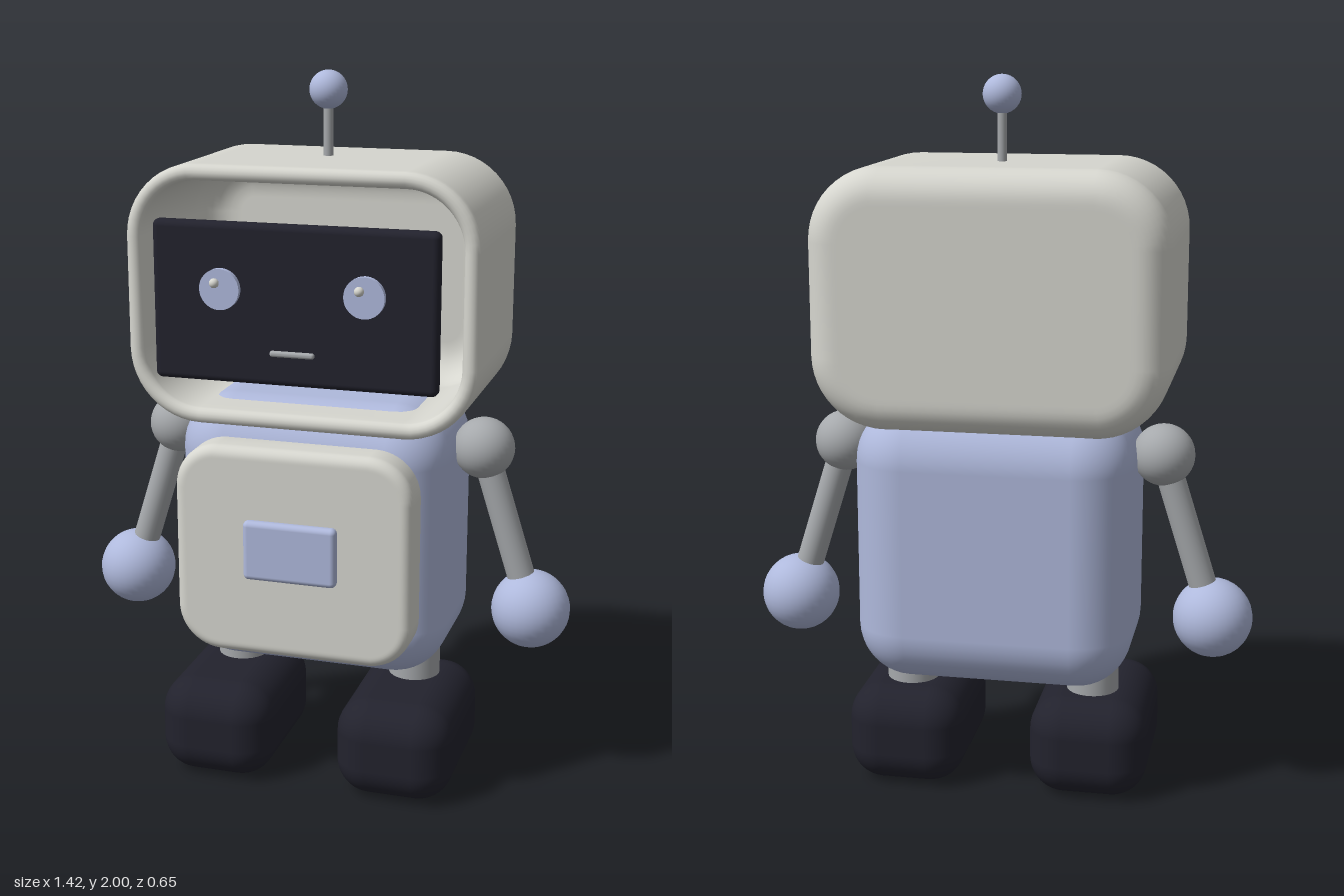
import * as THREE from 'three';
import { RoundedBoxGeometry } from 'three/addons/geometries/RoundedBoxGeometry.js';

const material = (name, color) => new THREE.MeshStandardMaterial({ name, color });

// Rounded-rectangle rings swept along z; profile entries are [inset, z], capped at both ends
function loft(halfW, halfH, radius, profile) {
  const pos = [], index = [], steps = 12, n = 4 * (steps + 1);
  for (const [inset, z] of profile) {
    const r = Math.max(radius - inset, 0.002);
    for (let c = 0; c < 4; c++) {
      const sx = c === 0 || c === 3 ? 1 : -1, sy = c < 2 ? 1 : -1;
      for (let k = 0; k <= steps; k++) {
        const a = (c + k / steps) * Math.PI / 2;
        pos.push(sx * (halfW - inset - r) + r * Math.cos(a), sy * (halfH - inset - r) + r * Math.sin(a), z);
      }
    }
  }
  const last = profile.length - 1;
  pos.push(0, 0, profile[0][1], 0, 0, profile[last][1]);
  const startCentre = n * profile.length, endCentre = startCentre + 1;
  for (let j = 0; j < n; j++) {
    const k = (j + 1) % n;
    for (let i = 0; i < last; i++) {
      const a = i * n + j, b = i * n + k;
      index.push(a, b, b + n, a, b + n, a + n);
    }
    index.push(startCentre, k, j, endCentre, last * n + j, last * n + k);
  }
  const g = new THREE.BufferGeometry();
  g.setAttribute('position', new THREE.Float32BufferAttribute(pos, 3));
  g.setIndex(index);
  g.computeVertexNormals();
  return g;
}

// Points of an arc in (inset, z) space
function arc(cx, cz, r, from, to, steps = 8) {
  return Array.from({ length: steps + 1 }, (_, i) => {
    const a = from + (to - from) * i / steps;
    return [cx + r * Math.cos(a), cz + r * Math.sin(a)];
  });
}

export function createModel() {
  const shell = material('shell', 0xd6d6cf);
  const blue = material('blue', 0xafb9dc);
  const grey = material('grey', 0xa6a9ac);
  const dark = material('dark', 0x22222d);
  const model = new THREE.Group();
  model.name = 'robot';
  const PI = Math.PI, midZ = -0.05;

  const add = (name, geometry, mat, x, y, z, parent = model) => {
    const mesh = new THREE.Mesh(geometry, mat);
    mesh.name = name;
    mesh.position.set(x, y, z);
    parent.add(mesh);
    return mesh;
  };
  const ball = (r) => new THREE.SphereGeometry(r, 32, 20);
  const box = (w, h, d, r) => new RoundedBoxGeometry(w, h, d, 6, r);

  // Hollow head: rounded back, soft front rim, bowl-like interior
  const head = new THREE.Group();
  head.name = 'head';
  model.add(head);
  add('headShell', loft(0.485, 0.353, 0.2, [
    [0.1, -0.325],
    ...arc(0.085, -0.24, 0.085, -PI / 2, -PI),
    [0, 0.2],
    ...arc(0.022, 0.213, 0.022, PI, 0),
    [0.044, 0.18],
    ...arc(0.144, -0.17, 0.1, PI, PI * 1.5),
    [0.155, -0.27],
  ]), shell, 0, 1.418, 0, head);

  // Face screen with eyes and mouth
  add('screen', box(0.78, 0.43, 0.044, 0.018), dark, 0, 1.415, 0.257, head);
  for (const side of [-1, 1]) {
    const eye = add('eye', new THREE.CylinderGeometry(0.055, 0.055, 0.02, 32), blue, side * 0.197, 1.455, 0.285, head);
    eye.rotation.x = PI / 2;
    add('eyeGlint', ball(0.013), shell, side * 0.197 - 0.012, 1.472, 0.298, head);
  }
  add('mouth', box(0.122, 0.016, 0.016, 0.007), grey, 0, 1.29, 0.284, head);

  // Antenna
  add('antennaRod', new THREE.CylinderGeometry(0.013, 0.013, 0.18, 20), grey, 0, 1.84, midZ, head);
  add('antennaTip', ball(0.052), blue, 0, 1.948, midZ, head);

  // Torso with chest panel and button
  add('torso', box(0.77, 0.78, 0.525, 0.155), blue, 0, 0.73, -0.052);
  add('chestPanel', loft(0.335, 0.298, 0.125, [
    [0.005, 0], [0, 0.005], [0, 0.06],
    ...arc(0.03, 0.07, 0.03, PI, PI / 2),
    [0.035, 0.1],
  ]), shell, 0, 0.73, 0.203);
  add('chestButton', box(0.262, 0.168, 0.034, 0.015), blue, 0, 0.746, 0.312);

  // Arms and legs
  for (const side of [-1, 1]) {
    const shoulder = new THREE.Vector3(side * 0.452, 0.98, midZ);
    const hand = new THREE.Vector3(side * 0.598, 0.518, midZ);
    const dir = hand.clone().sub(shoulder);
    const mid = shoulder.clone().add(hand).multiplyScalar(0.5);
    add('shoulder', ball(0.086), grey, ...shoulder);
    const arm = add('arm', new THREE.CylinderGeometry(0.039, 0.039, dir.length(), 24), grey, ...mid);
    arm.quaternion.setFromUnitVectors(new THREE.Vector3(0, -1, 0), dir.normalize());
    add('hand', ball(0.111), blue, ...hand);
    add('leg', new THREE.CylinderGeometry(0.074, 0.074, 0.25, 28), grey, side * 0.263, 0.325, midZ);
    add('foot', box(0.334, 0.285, 0.485, 0.1), dark, side * 0.263, 0.1425, 0.02);
  }
  return model;
}
